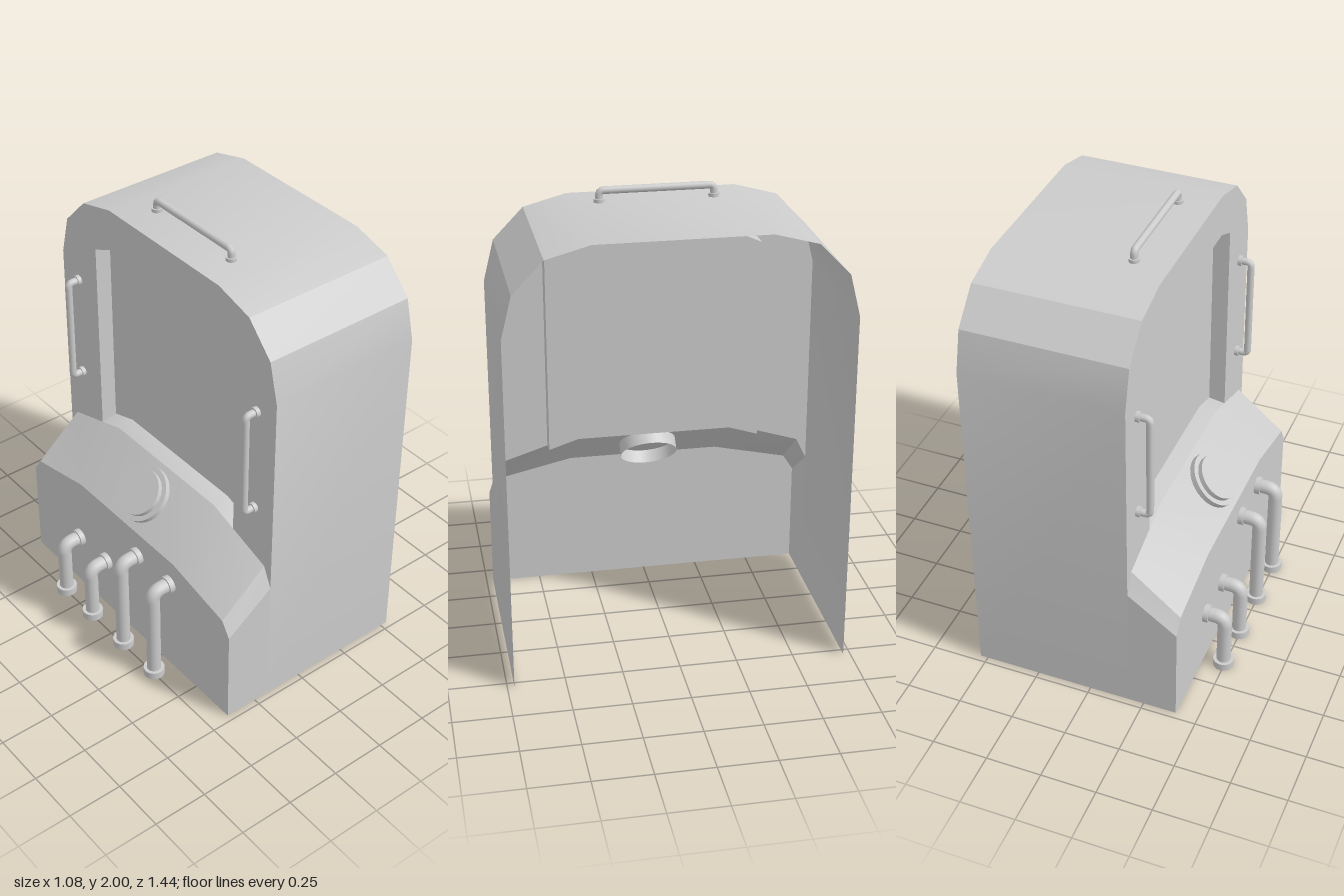
import * as THREE from 'three';
import { toCreasedNormals } from 'three/addons/utils/BufferGeometryUtils.js';

const material = new THREE.MeshStandardMaterial({ color: 0xcccccc, side: THREE.DoubleSide });
const V = (x, y, z) => new THREE.Vector3(x, y, z);

// Mirror half a [z, y] outline (z < 0, ending near the middle) to the other side
const mirror = (half) => [...half, ...half.map(([z, y]) => [-z, y]).reverse()];

function add(parent, name, geometry) {
  const mesh = new THREE.Mesh(geometry, material);
  mesh.name = name;
  parent.add(mesh);
  return mesh;
}

// Skin between two [z, y] outlines standing at x = xa and x = xb
function loft(a, xa, b, xb, closed = false) {
  const pos = [];
  const n = a.length;
  for (let i = 0; i < (closed ? n : n - 1); i++) {
    const j = (i + 1) % n;
    const a0 = [xa, a[i][1], a[i][0]], a1 = [xa, a[j][1], a[j][0]];
    const b0 = [xb, b[i][1], b[i][0]], b1 = [xb, b[j][1], b[j][0]];
    pos.push(...a0, ...a1, ...b0, ...a1, ...b1, ...b0);
  }
  const g = new THREE.BufferGeometry();
  g.setAttribute('position', new THREE.Float32BufferAttribute(pos, 3));
  return toCreasedNormals(g, 0.35);
}

// Flat sheet facing -x from a [z, y] outline
function sheet(outline, x) {
  const shape = new THREE.Shape(outline.map(([z, y]) => new THREE.Vector2(z, y)));
  return new THREE.ShapeGeometry(shape).rotateY(-Math.PI / 2).translate(x, 0, 0);
}

// Round bar through points with rounded corners
function bar(points, radius, bend) {
  const path = new THREE.CurvePath();
  let from = points[0];
  for (let i = 1; i < points.length - 1; i++) {
    const p = points[i];
    const before = p.clone().add(points[i - 1].clone().sub(p).setLength(bend));
    const after = p.clone().add(points[i + 1].clone().sub(p).setLength(bend));
    path.add(new THREE.LineCurve3(from, before));
    path.add(new THREE.QuadraticBezierCurve3(before, p, after));
    from = after;
  }
  path.add(new THREE.LineCurve3(from, points[points.length - 1]));
  return new THREE.TubeGeometry(path, 64, radius, 16);
}

// Short cylinder standing on a base point along a direction
function collar(parent, name, base, dir, radius, height) {
  const mesh = add(parent, name, new THREE.CylinderGeometry(radius, radius, height, 20));
  mesh.quaternion.setFromUnitVectors(V(0, 1, 0), dir);
  mesh.position.copy(base).addScaledVector(dir, height / 2);
}

// Grab handle between two feet, standing off along dir
function handle(parent, name, a, b, dir, height) {
  const group = new THREE.Group();
  group.name = name;
  const r = 0.016;
  const lift = (p) => p.clone().addScaledVector(dir, height - r);
  add(group, 'grip', bar([a, lift(a), lift(b), b], r, 0.02));
  for (const p of [a, b]) collar(group, 'handleFoot', p, dir, 0.023, 0.018);
  parent.add(group);
}

// Pipe leaving the lower panel and turning down to the floor
function pipe(parent, name, z, y) {
  const group = new THREE.Group();
  group.name = name;
  const x = -0.493;
  add(group, 'pipeBend', bar([V(-0.4, y, z), V(x, y, z), V(x, 0, z)], 0.032, 0.045));
  collar(group, 'wallCollar', V(-0.4, y, z), V(-1, 0, 0), 0.041, 0.025);
  collar(group, 'floorCollar', V(x, 0, z), V(0, 1, 0), 0.047, 0.035);
  parent.add(group);
}

export function createModel() {
  const model = new THREE.Group();
  model.name = 'cabinetShell';
  const xLow = -0.4, xFace = -0.18, xOpen = 0.535, xPanel = -0.105;

  // Arched hood, open at the bottom and on the +x side
  const archHalf = [[-0.72, 1.57], [-0.675, 1.75], [-0.545, 1.885], [-0.36, 1.935]];
  const hood = mirror([[-0.72, 0], ...archHalf]);
  add(model, 'hood', loft(hood, xFace, hood, xOpen));

  // Lower housing with its sloped, arched shoulder
  const low = mirror([[-0.72, 0], [-0.72, 0.46], [-0.675, 0.53], [-0.34, 0.605]]);
  const high = mirror([[-0.72, 0], [-0.72, 0.62], [-0.675, 0.715], [-0.34, 0.822]]);
  add(model, 'lowerHousing', loft(low, xLow, high, xFace));
  add(model, 'lowerPanel', sheet(low, xLow));

  // Upper face around the window opening
  const windowTop = mirror([[-0.47, 1.695], [-0.36, 1.745]]);
  const jambs = [[0.47, 0.78], ...[...windowTop].reverse(), [-0.47, 0.78]];
  add(model, 'upperFace', sheet([
    [-0.72, 0.62], ...mirror(archHalf), [0.72, 0.62], [0.675, 0.715],
    ...jambs, [-0.675, 0.715],
  ], xFace));

  // Recessed window panel and its surround
  const opening = [...jambs, [-0.34, 0.822], [0.34, 0.822]];
  const inner = opening.map(([z, y]) => [z, y < 1 ? y + 0.012 : y]);
  add(model, 'windowSurround', loft(opening, xFace, inner, xPanel, true));
  add(model, 'windowPanel', sheet(inner, xPanel));

  // Stepped port on the slope, with its sleeve open on the inside
  const profile = [[0.128, -0.06], [0.128, 0.025], [0.105, 0.025], [0.105, 0.048], [0, 0.048]];
  const port = add(model, 'slopePort', toCreasedNormals(
    new THREE.LatheGeometry(profile.map(([r, h]) => new THREE.Vector2(r, h)), 32), 0.5));
  port.rotation.z = Math.PI / 4;
  port.position.set(-0.29, 0.715, 0);

  // Handles on the roof and either side of the window
  handle(model, 'roofHandle', V(-0.025, 1.932, -0.238), V(-0.025, 1.932, 0.245), V(0, 1, 0), 0.068);
  for (const z of [-0.605, 0.605]) {
    handle(model, 'sideHandle', V(xFace, 0.99, z), V(xFace, 1.477, z), V(-1, 0, 0), 0.073);
  }

  // Two short and two tall pipes
  for (const [z, y] of [[-0.365, 0.28], [-0.155, 0.28], [0.085, 0.48], [0.315, 0.48]]) {
    pipe(model, y < 0.4 ? 'shortPipe' : 'tallPipe', z, y);
  }
  return model;
}
